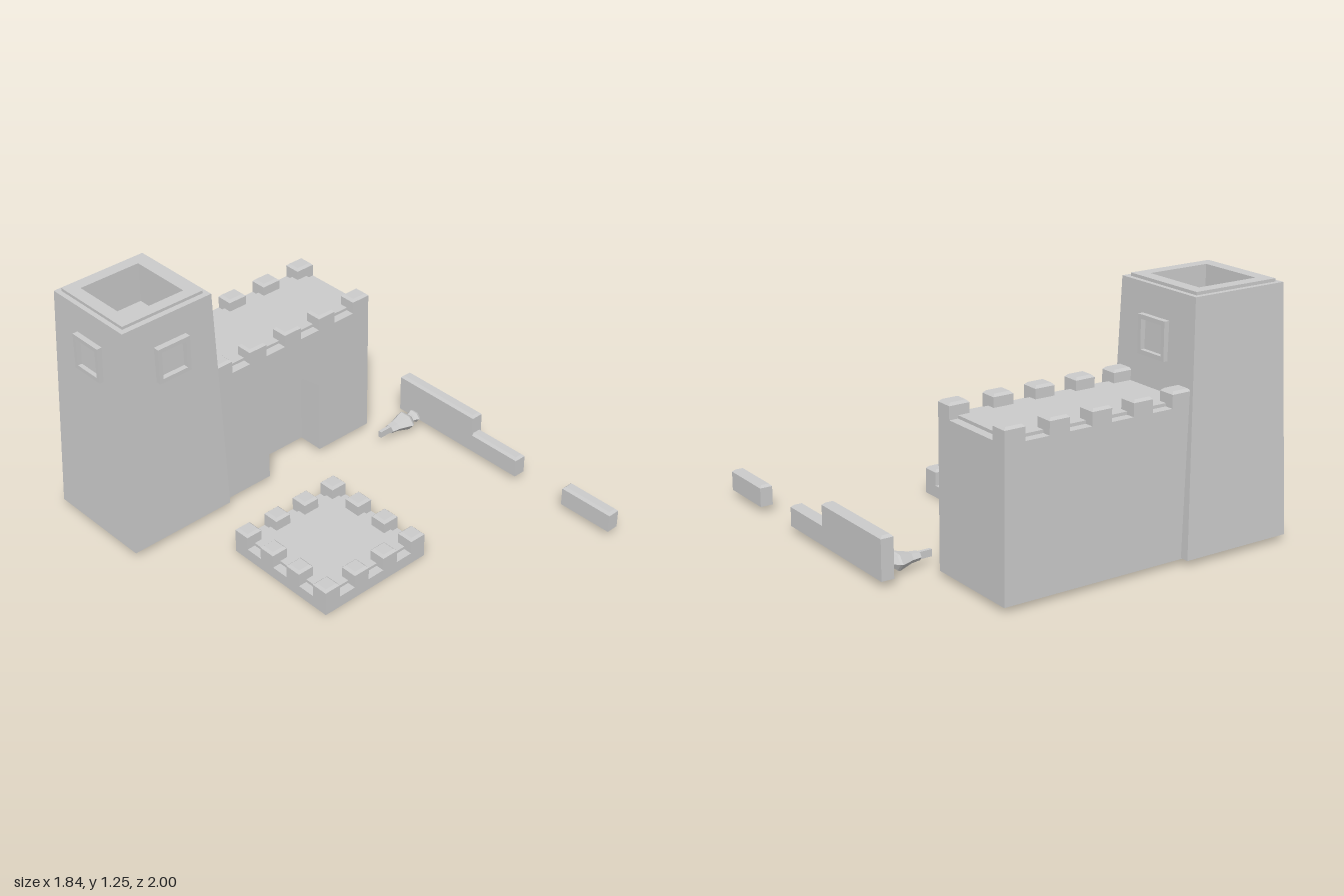
import * as THREE from 'three';

const material = new THREE.MeshStandardMaterial({ color: 0xcccccc, flatShading: true, side: THREE.DoubleSide });

function addMesh(parent, name, geometry) {
  const mesh = new THREE.Mesh(geometry, material);
  mesh.name = name;
  parent.add(mesh);
  return mesh;
}

function fromTriangles(points) {
  const g = new THREE.BufferGeometry();
  g.setAttribute('position', new THREE.Float32BufferAttribute(points.flat(), 3));
  g.computeVertexNormals();
  return g;
}

const quad = (a, b, c, d) => [a, b, c, a, c, d];

// Stack of rectangles [x0, x1, z0, z1, y] joined bottom to top.
function loft(rings, { bottom = false, top = true, openFront = false } = {}) {
  const corners = rings.map(([x0, x1, z0, z1, y]) => [[x0, y, z1], [x1, y, z1], [x1, y, z0], [x0, y, z0]]);
  const tris = [];
  for (let r = 0; r < corners.length - 1; r++) {
    for (let i = openFront ? 1 : 0; i < 4; i++) {
      const j = (i + 1) % 4;
      tris.push(...quad(corners[r][i], corners[r][j], corners[r + 1][j], corners[r + 1][i]));
    }
  }
  if (top) tris.push(...quad(...corners[corners.length - 1]));
  if (bottom) tris.push(...quad(...[...corners[0]].reverse()));
  return fromTriangles(tris);
}

// Block with a bevelled top edge and an open underside.
function block(x0, x1, z0, z1, y0, y1, bevel = 0.012) {
  return loft([[x0, x1, z0, z1, y0], [x0, x1, z0, z1, y1 - bevel],
    [x0 + bevel, x1 - bevel, z0 + bevel, z1 - bevel, y1]]);
}

function buildTower() {
  const tower = new THREE.Group();
  tower.name = 'tower';
  // Tapered walls, raised rim and the square well in the top
  addMesh(tower, 'towerWalls', loft([
    [-0.92, -0.335, -1, -0.42, 0.03],
    [-0.88, -0.37, -0.96, -0.45, 1.23],
    [-0.855, -0.395, -0.935, -0.48, 1.23],
    [-0.855, -0.395, -0.935, -0.48, 1.245],
    [-0.79, -0.46, -0.875, -0.54, 1.245],
    [-0.79, -0.46, -0.875, -0.54, 1.04],
  ]));
  // Square window frames on the front and both sides
  const outline = (h) => [[-h, -h], [h, -h], [h, h], [-h, h]].map(([x, y]) => new THREE.Vector2(x, y));
  const shape = new THREE.Shape(outline(0.092));
  shape.holes.push(new THREE.Path(outline(0.071)));
  const frame = new THREE.ExtrudeGeometry(shape, { depth: 0.035, bevelEnabled: false });
  const places = [
    ['frontWindow', -0.623, -0.45, 0],
    ['leftWindow', -0.373, -0.7, Math.PI / 2],
    ['rightWindow', -0.877, -0.7, -Math.PI / 2],
  ];
  for (const [name, x, z, turn] of places) {
    const window = addMesh(tower, name, frame);
    window.position.set(x, 0.998, z);
    window.rotation.y = turn;
  }
  return tower;
}

function buildGatehouse() {
  const hall = new THREE.Group();
  hall.name = 'gatehouse';
  const x0 = -0.355, x1 = 0.63, z0 = -0.955, z1 = -0.455, y0 = 0.025, y1 = 0.745;
  addMesh(hall, 'gatehouseWalls', loft([[x0, x1, z0, z1, y0], [x0, x1, z0, z1, y1]], { openFront: true }));
  addMesh(hall, 'gatehouseRoof', loft([[x0, 0.585, -0.91, -0.5, y1], [x0, 0.585, -0.91, -0.5, 0.76]]));

  // Front wall with an arched recess
  const arch = [[-0.045, y0], [-0.045, 0.42], [0.07, 0.51], [0.185, 0.51], [0.295, 0.42], [0.295, y0]];
  const toV2 = ([x, y]) => new THREE.Vector2(x, y);
  const front = [[x0, y0], ...arch, [x1, y0], [x1, y1], [x0, y1]].map(toV2);
  addMesh(hall, 'frontWall', new THREE.ShapeGeometry(new THREE.Shape(front))).position.z = z1;
  const back = z1 - 0.14;
  addMesh(hall, 'door', new THREE.ShapeGeometry(new THREE.Shape(arch.map(toV2)))).position.z = back;
  const jamb = [];
  for (let i = 0; i < arch.length - 1; i++) {
    const [a, b] = [arch[i], arch[i + 1]];
    jamb.push(...quad([...a, z1], [...b, z1], [...b, back], [...a, back]));
  }
  addMesh(hall, 'doorJamb', fromTriangles(jamb));

  // Five merlons along the front and the back
  for (const x of [-0.365, -0.15, 0.073, 0.296, 0.525]) {
    addMesh(hall, 'merlon', block(x, x + 0.105, z0, z0 + 0.087, y1, 0.82));
    addMesh(hall, 'merlon', block(x, x + 0.105, z1 - 0.087, z1, y1, 0.82));
  }
  return hall;
}

// Loose battlement slab with four merlons to a side
function buildBattlement() {
  const slab = new THREE.Group();
  slab.name = 'battlement';
  const x0 = -0.535, z0 = -0.14, size = 0.635, w = 0.088;
  const x1 = x0 + size, z1 = z0 + size;
  addMesh(slab, 'slab', loft([[x0, x1, z0, z1, 0], [x0, x1, z0, z1, 0.06]], { bottom: true }));
  const e = 0.045;
  addMesh(slab, 'deck', loft([[x0 + e, x1 - e, z0 + e, z1 - e, 0.06], [x0 + e, x1 - e, z0 + e, z1 - e, 0.075]]));
  const step = (size - w) / 3;
  for (let i = 0; i < 4; i++) {
    for (let j = 0; j < 4; j++) {
      if (i % 3 && j % 3) continue;
      const x = x0 + i * step, z = z0 + j * step;
      addMesh(slab, 'merlon', block(x, x + w, z, z + w, 0.06, 0.14));
    }
  }
  return slab;
}

// Flattened hexagonal ornament lying on its side, with a blade at the tip
function buildOrnament() {
  const ornament = new THREE.Group();
  ornament.name = 'ornament';
  const profile = [[0, 0], [0.03, 0], [0.036, 0.045], [0.062, 0.115], [0.056, 0.125], [0.03, 0.147],
    [0.032, 0.16], [0.043, 0.178], [0.036, 0.19], [0, 0.19]].map(([r, y]) => new THREE.Vector2(r, y));
  const body = new THREE.LatheGeometry(profile, 6);
  body.rotateZ(-Math.PI / 2);
  body.scale(1, 0.72, 1);
  addMesh(ornament, 'ornamentBody', body).position.x = 0.65;
  addMesh(ornament, 'blade', new THREE.BoxGeometry(0.075, 0.035, 0.018)).position.x = 0.62;
  ornament.position.set(0, 0.054, -0.308);
  return ornament;
}

export function createModel() {
  const model = new THREE.Group();
  model.name = 'castle';
  model.add(buildTower(), buildGatehouse(), buildBattlement(), buildOrnament());
  // Broken wall pieces
  addMesh(model, 'tallWall', block(0.85, 0.915, -0.43, 0.09, 0.03, 0.24));
  addMesh(model, 'lowWall', block(0.85, 0.915, 0.07, 0.392, 0.03, 0.137));
  addMesh(model, 'wallEnd', block(0.85, 0.915, 0.7, 1, 0.03, 0.137));
  return model;
}
